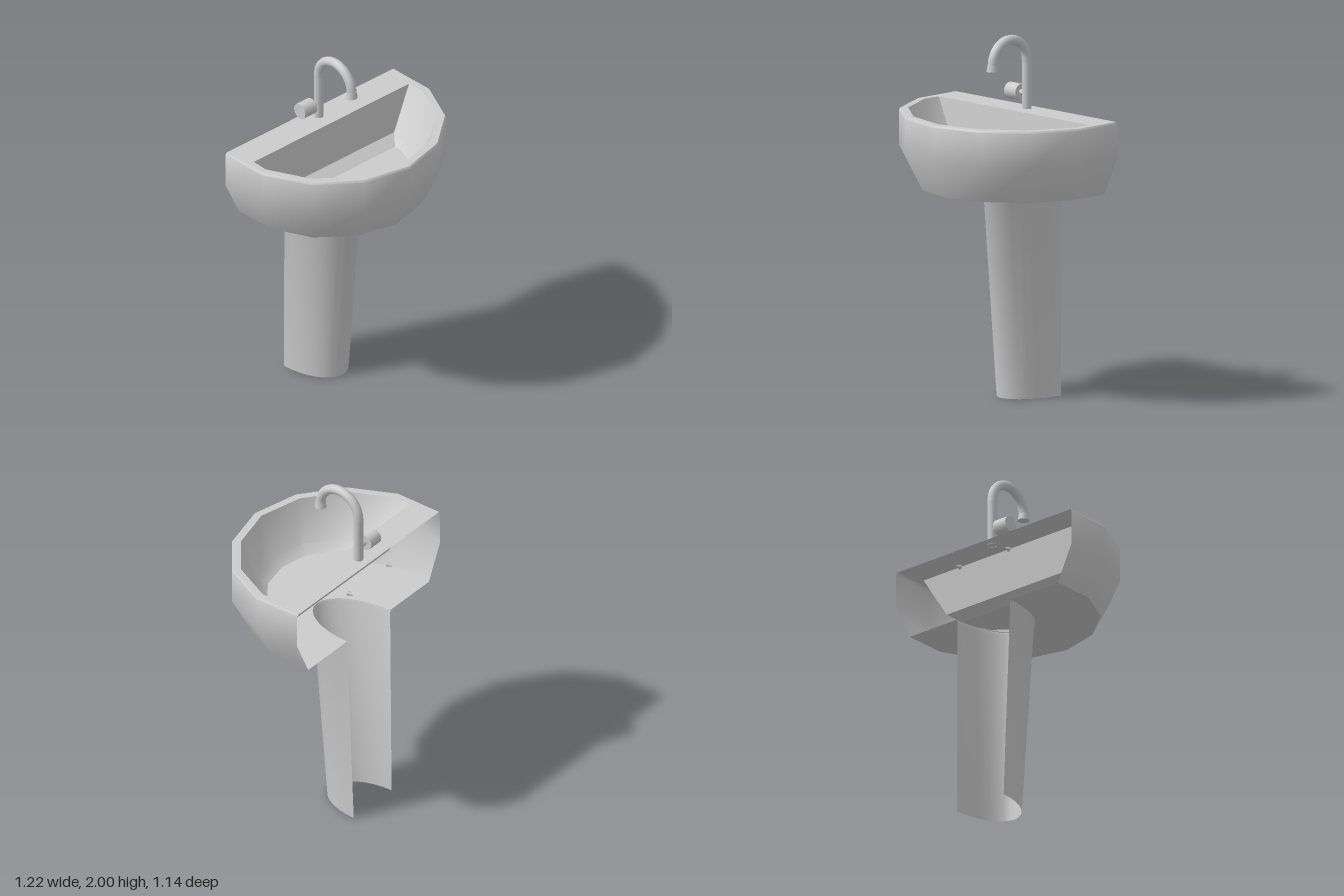
import * as THREE from 'three';
import { toCreasedNormals } from 'three/addons/utils/BufferGeometryUtils.js';

const material = new THREE.MeshStandardMaterial({ color: 0xcccccc, side: THREE.DoubleSide });

function add(parent, name, geometry, x = 0, y = 0, z = 0) {
  const mesh = new THREE.Mesh(geometry, material);
  mesh.name = name;
  mesh.position.set(x, y, z);
  parent.add(mesh);
  return mesh;
}

// Half outline (right to middle) mirrored into a full run from -x to +x.
const mirror = (half) => [
  ...half.map(([x, z]) => [-x, z]),
  ...half.slice(0, -1).reverse(),
];

const scaled = (pts, sx, sz) => pts.map(([x, z]) => [x * sx, z * sz]);

// Skin between rows of points, each row { y, pts }.
function loft(rows, closed, crease = 0.7) {
  const n = rows[0].pts.length;
  const pos = rows.flatMap(({ y, pts }) => pts.flatMap(([x, z]) => [x, y, z]));
  const index = [];
  for (let r = 0; r < rows.length - 1; r++) {
    for (let i = 0; i < (closed ? n : n - 1); i++) {
      const a = r * n + i, b = r * n + (i + 1) % n;
      index.push(a, a + n, b, b, a + n, b + n);
    }
  }
  const g = new THREE.BufferGeometry();
  g.setAttribute('position', new THREE.Float32BufferAttribute(pos, 3));
  g.setIndex(index);
  return toCreasedNormals(g, crease);
}

// Flat horizontal face, looking up or down, with an optional hole.
function flat(pts, up, hole) {
  const s = up ? -1 : 1;
  const vec = (list) => list.map(([x, z]) => new THREE.Vector2(x, s * z));
  const shape = new THREE.Shape(vec(pts));
  if (hole) shape.holes.push(new THREE.Path(vec(hole)));
  return new THREE.ShapeGeometry(shape).rotateX(s * Math.PI / 2);
}

// Half ellipse bulging forward, from -x to +x.
function arch(a, b, z0, n = 16) {
  return Array.from({ length: n + 1 }, (_, i) => {
    const t = Math.PI * (1 - i / n);
    return [a * Math.cos(t), z0 + b * Math.sin(t)];
  });
}

export function createModel() {
  const model = new THREE.Group();
  model.name = 'pedestalSink';

  // The sink stands turned on its axis; its back edge is local z = 0
  const sink = new THREE.Group();
  sink.name = 'sink';
  sink.position.set(-0.125, 0, -0.17);
  sink.rotation.y = 0.689;
  model.add(sink);

  // Outer shell, open at the back
  const outline = mirror([[0.63, 0], [0.63, 0.285], [0.505, 0.545], [0.278, 0.723], [0, 0.789]]);
  const top = scaled(outline, 0.988, 0.99);
  const bottom = scaled(outline, 0.845, 0.87);
  add(sink, 'basinShell', loft([
    { y: 1.577, pts: top },
    { y: 1.566, pts: outline },
    { y: 1.37, pts: outline },
    { y: 1.165, pts: bottom },
  ], false));

  // Underside, notched where the pedestal meets it
  add(sink, 'basinUnderside', flat([...bottom, ...arch(0.19, 0.355, 0).reverse()], false), 0, 1.165, 0);

  // Rim with the wide rear deck, then the bowl sunk into it
  const rim = mirror([[0.58, 0.17], [0.585, 0.27], [0.47, 0.51], [0.26, 0.675], [0, 0.738]]);
  const lower = mirror([[0.44, 0.2], [0.43, 0.3], [0.36, 0.477], [0.19, 0.61], [0, 0.645]]);
  const floor = mirror([[0.385, 0.265], [0.385, 0.31], [0.33, 0.44], [0.17, 0.56], [0, 0.594]]);
  add(sink, 'rimAndDeck', flat(top, true, rim), 0, 1.577, 0);
  add(sink, 'bowl', loft([
    { y: 1.3, pts: floor },
    { y: 1.34, pts: lower },
    { y: 1.577, pts: rim },
  ], true));
  add(sink, 'bowlFloor', flat(floor, true), 0, 1.3, 0);

  // Hollow pedestal, open at the back, with a slim collar on top
  add(sink, 'pedestal', loft([
    { y: 1.165, pts: arch(0.195, 0.365, 0) },
    { y: 1.15, pts: arch(0.19, 0.355, 0) },
    { y: 0, pts: arch(0.167, 0.284, -0.028) },
  ], false));

  // Wall fixings behind the deck
  for (const side of [-1, 1]) {
    const g = new THREE.ConeGeometry(0.014, 0.035, 8).rotateX(-Math.PI / 2);
    add(sink, 'wallFixing', g, side * 0.175, 1.475, -0.012);
  }

  // Swan-neck tap
  const path = new THREE.CurvePath();
  const neck = [];
  for (let i = 0; i <= 12; i++) {
    const t = Math.PI * (1 - i / 12);
    neck.push(new THREE.Vector3(0, 1.842 + 0.13 * Math.sin(t), 0.2 + 0.13 * Math.cos(t)));
  }
  path.add(new THREE.LineCurve3(new THREE.Vector3(0, 1.575, 0.07), neck[0]));
  path.add(new THREE.CatmullRomCurve3(neck));
  add(sink, 'tapSpout', new THREE.TubeGeometry(path, 48, 0.027, 12, false));
  const nozzle = new THREE.CylinderGeometry(0.027, 0.033, 0.04, 12);
  add(sink, 'tapNozzle', nozzle, 0, 1.834, 0.33);

  // Side handle on a short stem
  add(sink, 'handleStem', new THREE.CylinderGeometry(0.015, 0.015, 0.06, 10).rotateZ(Math.PI / 2), -0.035, 1.66, 0.066);
  add(sink, 'handleKnob', new THREE.CylinderGeometry(0.045, 0.045, 0.088, 14).rotateZ(Math.PI / 2), -0.093, 1.66, 0.064);

  return model;
}
